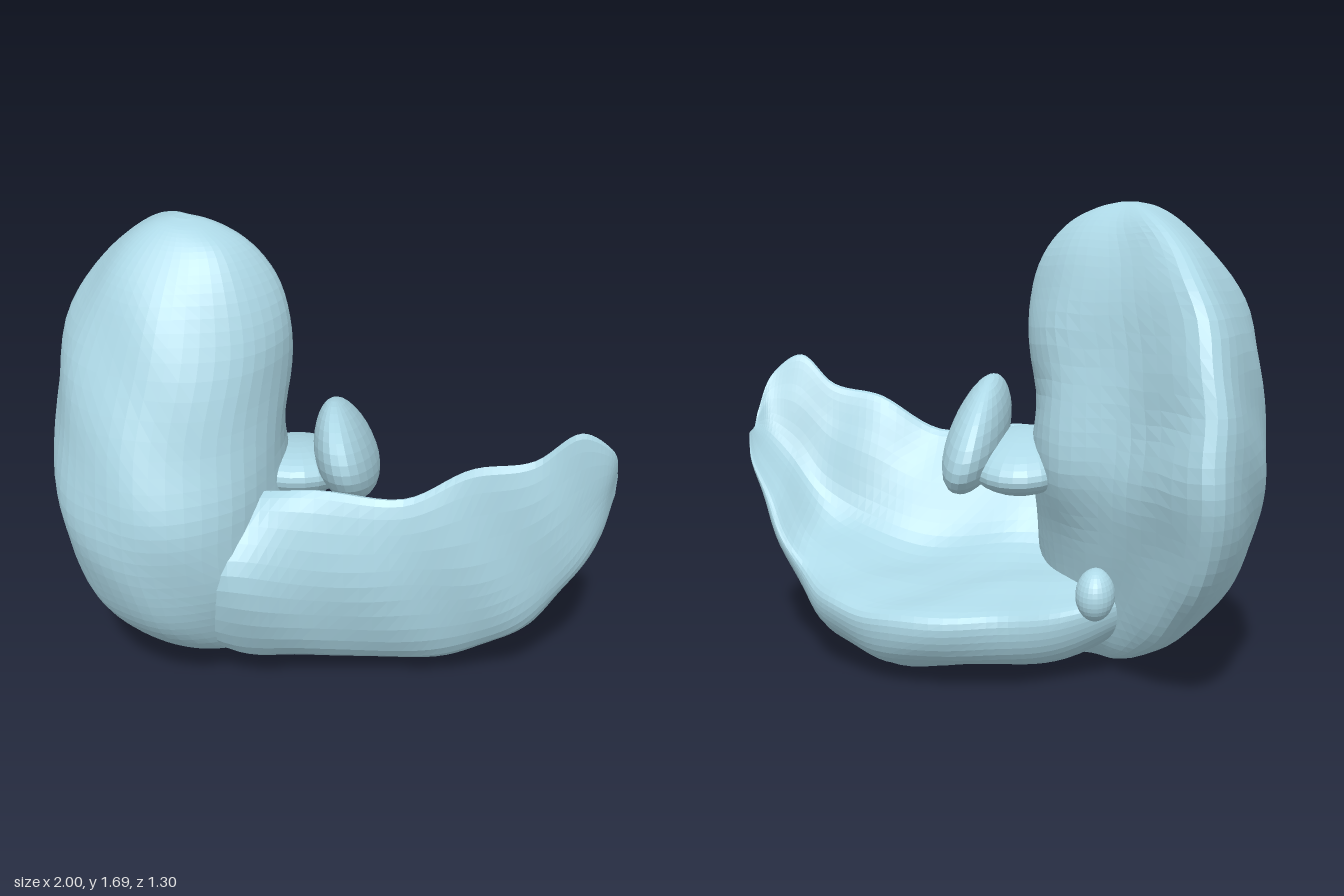
import * as THREE from 'three';

const material = new THREE.MeshStandardMaterial({ color: 0xadd8e6, flatShading: true });
const lerp = THREE.MathUtils.lerp;
const V = (x, y, z) => new THREE.Vector3(x, y, z);

// Gentle surface unevenness
function ripple(p, amount) {
  p.x += amount * Math.sin(17 * p.y + 11 * p.z);
  p.y += amount * Math.sin(19 * p.z + 13 * p.x);
  p.z += amount * Math.sin(15 * p.x + 12 * p.y);
  return p;
}

// Closed skin through rings of control points, capped at both ends
function loft(rings, along, around, amount) {
  const rails = rings[0].map((_, i) => new THREE.CatmullRomCurve3(rings.map(r => r[i])));
  const pos = [], index = [];
  const centre = new THREE.Vector3();
  const caps = [];
  for (let i = 0; i <= along; i++) {
    const ring = new THREE.CatmullRomCurve3(rails.map(c => c.getPoint(i / along)), true);
    centre.set(0, 0, 0);
    for (let j = 0; j < around; j++) {
      const p = ripple(ring.getPoint(j / around), amount);
      centre.addScaledVector(p, 1 / around);
      pos.push(p.x, p.y, p.z);
      if (i < along) {
        const a = i * around + j, b = i * around + (j + 1) % around;
        index.push(a, b, a + around, b, b + around, a + around);
      }
    }
    if (i === 0 || i === along) caps.push(centre.clone());
  }
  caps.forEach((c, k) => {
    const tip = pos.length / 3, base = k * along * around;
    pos.push(c.x, c.y, c.z);
    for (let j = 0; j < around; j++) {
      const a = base + j, b = base + (j + 1) % around;
      if (k) index.push(a, b, tip); else index.push(b, a, tip);
    }
  });
  // Signed volume tells whether the faces point outwards
  const at = i => V(pos[3 * i], pos[3 * i + 1], pos[3 * i + 2]);
  let volume = 0;
  for (let i = 0; i < index.length; i += 3)
    volume += at(index[i]).dot(at(index[i + 1]).cross(at(index[i + 2])));
  if (volume < 0) index.reverse();
  const g = new THREE.BufferGeometry();
  g.setAttribute('position', new THREE.Float32BufferAttribute(pos, 3));
  g.setIndex(index);
  g.computeVertexNormals();
  return g;
}

// Large lobe: level slices [y, back edge x, back edge z, outer x, front z, inner x]
function largeLobe() {
  const rows = [
    [0.03, -0.48, 0.0, -0.54, 0.16, -0.28],
    [0.12, -0.62, -0.2, -0.71, 0.37, -0.2],
    [0.3, -0.75, -0.42, -0.87, 0.54, -0.18],
    [0.5, -0.83, -0.57, -0.96, 0.62, -0.16],
    [0.75, -0.85, -0.65, -1.0, 0.645, -0.15],
    [1.0, -0.85, -0.57, -0.985, 0.57, -0.16],
    [1.3, -0.81, -0.43, -0.93, 0.45, -0.13],
    [1.5, -0.72, -0.28, -0.81, 0.35, -0.19],
    [1.62, -0.62, -0.12, -0.69, 0.26, -0.28],
    [1.67, -0.56, -0.01, -0.6, 0.19, -0.38],
    [1.685, -0.51, 0.07, -0.53, 0.13, -0.46],
  ];
  const rings = rows.map(([y, ax, az, ox, fz, ix]) => {
    const x = t => lerp(ox, ix, t), z = t => lerp(az, fz, t);
    // The inner ridge reaches furthest back at mid height
    const ridge = 0.36 + 0.1 * Math.min(1, Math.abs(y - 0.85) / 0.4);
    return [
      V(ax, y, az),
      V(x(0.02), y, z(0.3)),
      V(ox, y, z(0.6)),
      V(x(0.14), y, z(0.87)),
      V(x(0.45), y, fz),
      V(x(0.82), y, z(0.92)),
      V(ix, y, z(0.66)),
      V(x(0.88), y, z(ridge)),
      V(lerp(x(0.88), ax, 0.5), y, z(0.24)),
    ];
  });
  return loft(rings, 50, 54, 0.004);
}

// Thin lobe: upright slices [x, top y z, front y z, bottom y z, back edge y z]
function thinLobe() {
  const rows = [
    [-0.65, 0.7, 0.3, 0.5, 0.44, 0.22, 0.15, 0.32, -0.1],
    [-0.32, 0.79, 0.37, 0.57, 0.57, 0.035, 0.05, 0.25, -0.27],
    [-0.08, 0.83, 0.42, 0.52, 0.535, 0.03, 0.05, 0.26, -0.42],
    [0.27, 0.81, 0.41, 0.5, 0.475, 0.005, 0.05, 0.24, -0.4],
    [0.5, 0.93, 0.41, 0.5, 0.455, 0.06, 0.1, 0.25, -0.27],
    [0.7, 0.98, 0.42, 0.6, 0.45, 0.2, 0.2, 0.32, -0.07],
    [0.85, 1.09, 0.43, 0.75, 0.44, 0.42, 0.26, 0.52, 0.05],
    [0.95, 1.02, 0.4, 0.86, 0.4, 0.63, 0.28, 0.68, 0.14],
    [0.995, 0.87, 0.31, 0.83, 0.31, 0.78, 0.27, 0.8, 0.22],
  ];
  const rings = rows.map(([x, ty, tz, fy, fz, my, mz, by, bz]) => {
    const T = V(x, ty, tz), F = V(x, fy, fz), M = V(x, my, mz), B = V(x, by, bz);
    const C = F.clone().lerp(M, 0.5).lerp(V(x, my, fz), 0.5);
    // Lower corner of the blunt back edge
    const D = V(x, lerp(by, my, 0.62), lerp(bz, mz, 0.1));
    const inner = (t, sag) => B.clone().lerp(T, t).lerp(C, sag);
    return [T, F, C, M, D, B, inner(0.15, 0.1), inner(0.5, 0.33), inner(0.85, 0.12)];
  });
  return loft(rings, 56, 54, 0.004);
}

// Rounded swelling that tapers and leans towards its top, its rear end set lower
function swelling(centre, size, taper = 0, lean = 0, tilt = 0.2) {
  const g = new THREE.SphereGeometry(1, 24, 16);
  const p = g.attributes.position;
  for (let i = 0; i < p.count; i++) {
    const y = p.getY(i), k = 1 - taper * y;
    const z = size[2] * p.getZ(i) * k;
    p.setXYZ(i,
      centre[0] + size[0] * (p.getX(i) * k + lean * y),
      centre[1] + size[1] * y + tilt * z,
      centre[2] + z);
  }
  g.computeVertexNormals();
  return g;
}

export function createModel() {
  const group = new THREE.Group();
  const add = (name, geometry) => {
    const mesh = new THREE.Mesh(geometry, material);
    mesh.name = name;
    group.add(mesh);
  };
  add('largeLobe', largeLobe());
  add('thinLobe', thinLobe());
  add('middleLobe', swelling([0.05, 0.85, 0.12], [0.11, 0.19, 0.31], 0.2, -0.35, 0.27));
  add('lobeBridge', swelling([-0.13, 0.75, 0.07], [0.2, 0.1, 0.25]));
  add('lowerSac', swelling([-0.43, 0.32, -0.2], [0.07, 0.09, 0.08]));
  return group;
}
